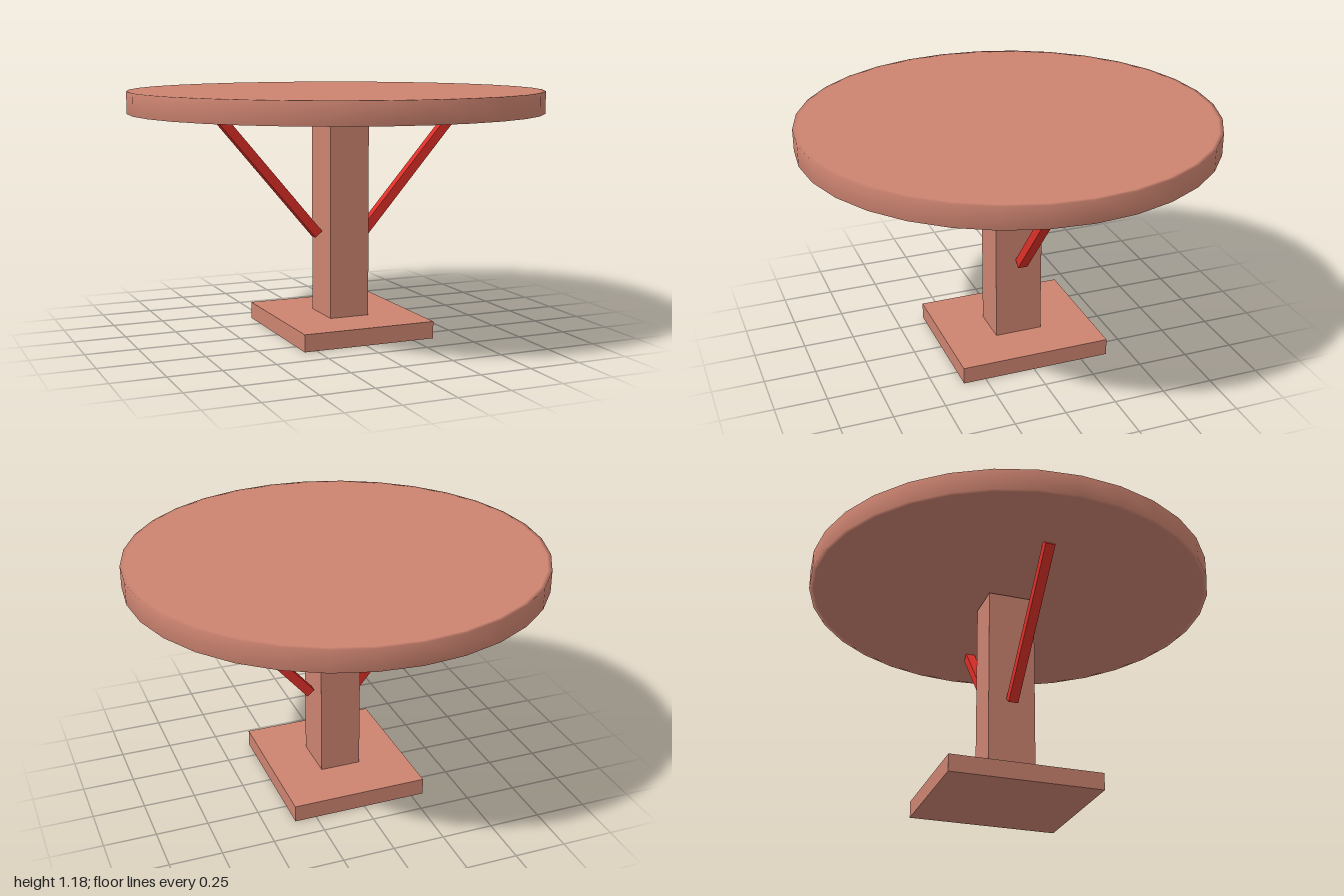
import * as THREE from 'three';

export function createModel() {
  const table = new THREE.Group();
  table.name = 'roundTable';
  const wood = new THREE.MeshStandardMaterial({ color: 0xcc8370 });
  const red = new THREE.MeshStandardMaterial({ color: 0xdd2f28 });

  const add = (name, geometry, material) => {
    const mesh = new THREE.Mesh(geometry, material);
    mesh.name = name;
    table.add(mesh);
    return mesh;
  };

  // Box given by its lower and upper corners
  const block = (name, min, max) => {
    const size = max.map((v, i) => v - min[i]);
    const mesh = add(name, new THREE.BoxGeometry(...size), wood);
    mesh.position.set(...max.map((v, i) => (v + min[i]) / 2));
  };

  // Square bar running between two points
  const brace = (name, from, to) => {
    const a = new THREE.Vector3(...from);
    const b = new THREE.Vector3(...to);
    const mesh = add(name, new THREE.BoxGeometry(0.048, 0.046, a.distanceTo(b)), red);
    mesh.position.copy(a).lerp(b, 0.5);
    mesh.lookAt(b);
  };

  // Round top: soft shading around the rim, flat faces above and below
  const bottom = 1.08, top = 1.185;
  const profile = [
    [0, bottom], [0.98, bottom], [1, bottom], [1, top], [0.98, top], [0, top],
  ].map(([r, y]) => new THREE.Vector2(r, y));
  add('tableTop', new THREE.LatheGeometry(profile, 32), wood);

  // Foot and post
  block('base', [-0.31, 0, -0.385], [0.355, 0.083, 0.36]);
  block('post', [-0.075, 0.083, -0.125], [0.125, 1.068, 0.11]);

  // Diagonal braces
  brace('leftBrace', [0.146, 0.477, -0.013], [0.657, 1.07, -0.004]);
  brace('rightBrace', [-0.095, 0.483, -0.013], [-0.6, 1.074, -0.004]);

  return table;
}
